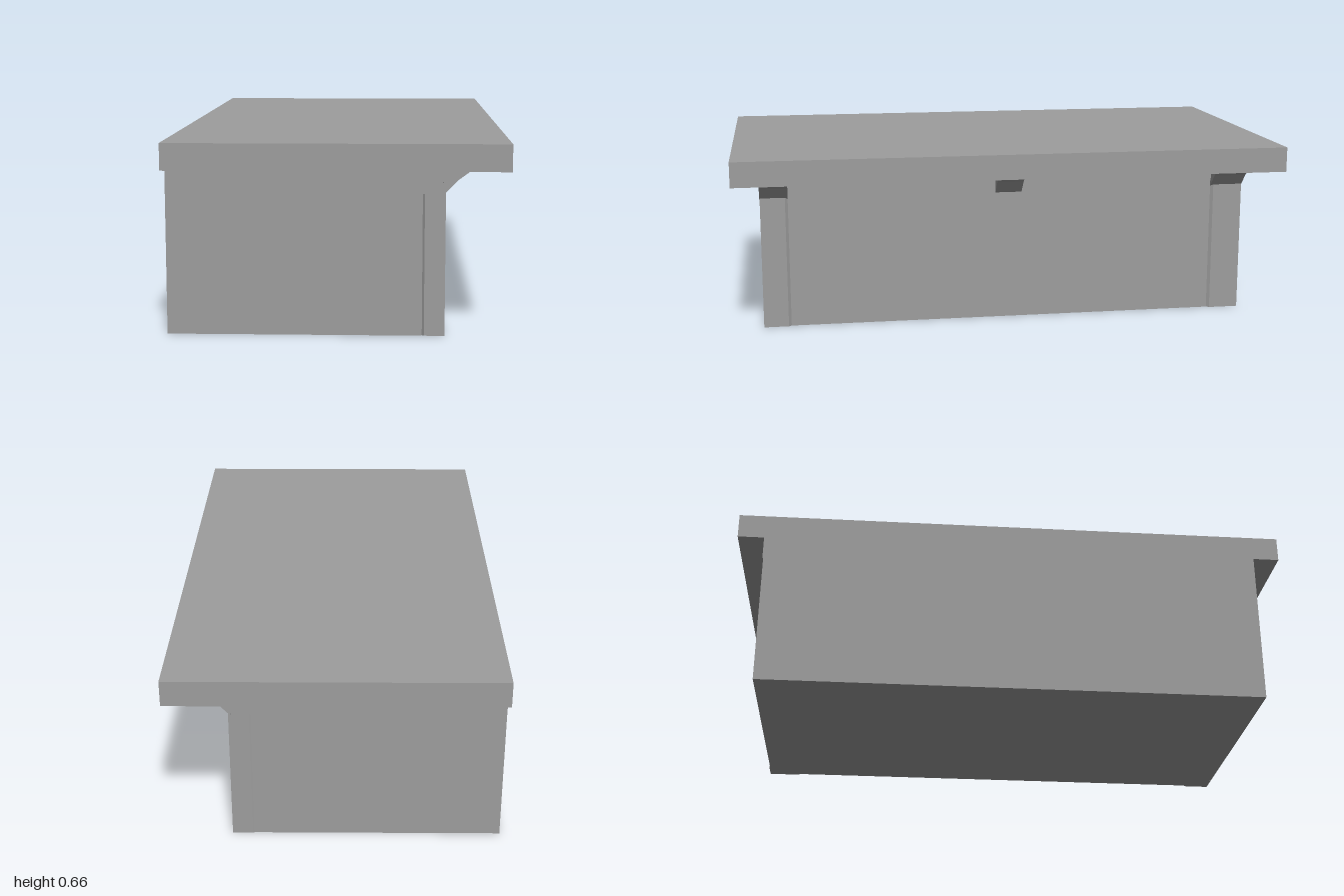
import * as THREE from 'three';

const material = new THREE.MeshStandardMaterial({ color: 0x9d9d9d, flatShading: true });

function add(group, name, geometry, x = 0, y = 0, z = 0) {
  const mesh = new THREE.Mesh(geometry, material);
  mesh.name = name;
  mesh.position.set(x, y, z);
  group.add(mesh);
}

// Box given by its lower and upper corners
function block(group, name, [x0, y0, z0], [x1, y1, z1]) {
  add(group, name, new THREE.BoxGeometry(x1 - x0, y1 - y0, z1 - z0),
    (x0 + x1) / 2, (y0 + y1) / 2, (z0 + z1) / 2);
}

const extrude = (points, depth) => new THREE.ExtrudeGeometry(
  new THREE.Shape(points.map(([a, b]) => new THREE.Vector2(a, b))),
  { depth, bevelEnabled: false });

export function createModel() {
  const group = new THREE.Group();
  const back = -0.57, front = 0.361, end = 0.905;
  const bodyTop = 0.565, recess = 0.008, shallow = 0.003;

  // Countertop overhanging one long side and both ends
  block(group, 'countertop', [-0.57, bodyTop, -1], [0.57, 0.655, 1]);

  // Body outline (x, -z): flush front end with a groove beside its post,
  // recessed panels on the long side and the back end
  const plan = [
    [back, -end], [0.285, -end], [0.285, recess - end], [0.292, -end], [front, -end],
    [front, -0.815], [front - recess, -0.805],
    [front - recess, 0.785], [front, 0.795],
    [front, end], [0.292, end], [0.285, end - shallow], [back, end - shallow],
  ];
  add(group, 'body', extrude(plan, bodyTop).rotateX(-Math.PI / 2));

  // Rails above the panels and the groove
  block(group, 'frontRail', [0.285, 0.48, end - recess], [0.292, bodyTop, end]);
  block(group, 'backRail', [back, 0.48, -end], [0.292, bodyTop, shallow - end]);
  block(group, 'longRail', [front - recess, 0.51, -0.795], [front, bodyTop, 0.815]);

  // Brackets carrying the overhang, slightly hollow along the slope
  const profile = [[0.353, 0.478], [0.361, 0.484], [0.4, 0.525], [0.455, bodyTop], [0.353, bodyTop]];
  for (const [z0, z1] of [[-0.906, -0.785], [-0.055, 0.043], [0.805, 0.906]]) {
    add(group, 'bracket', extrude(profile, z1 - z0), 0, 0, z0);
  }
  return group;
}
